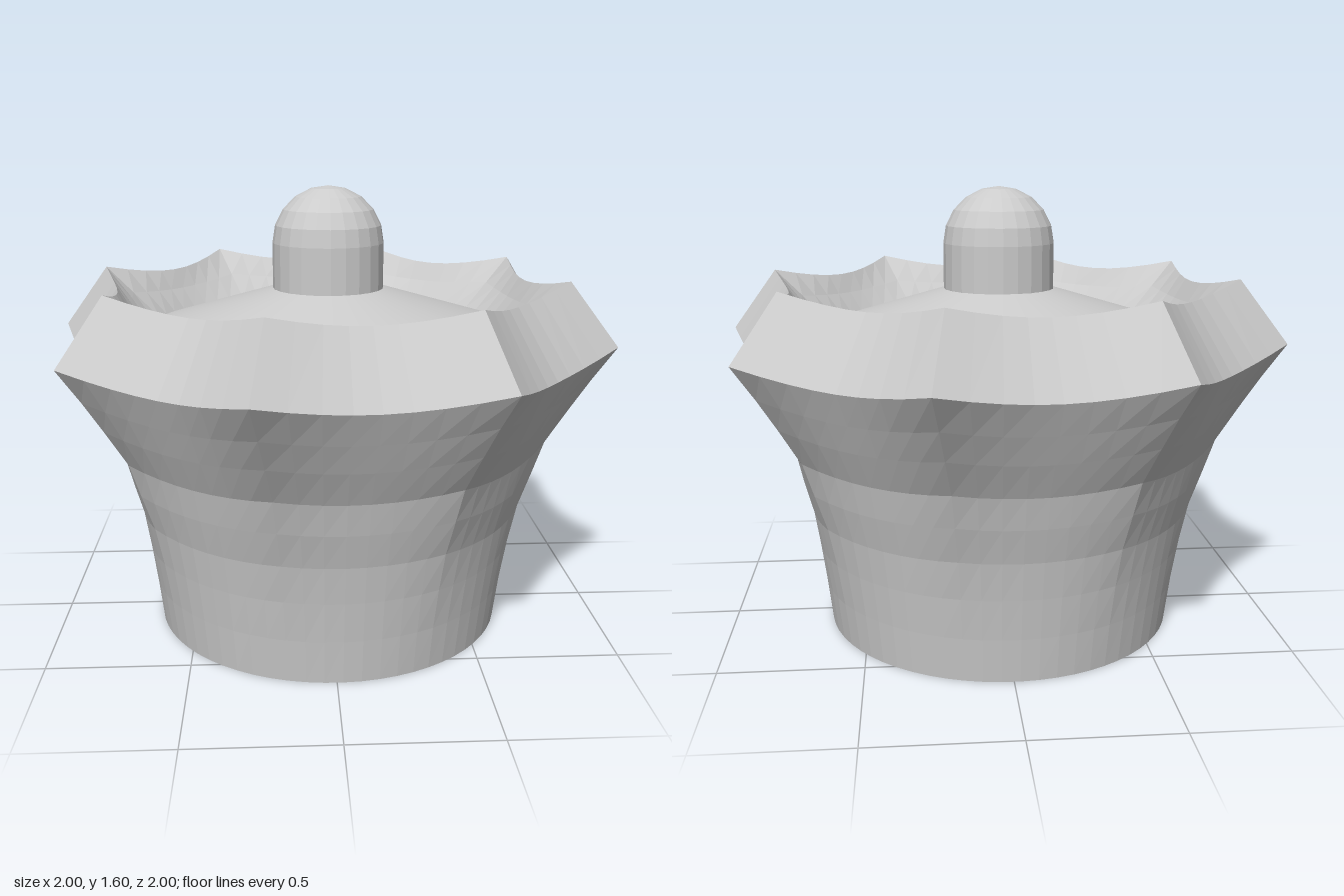
import * as THREE from 'three';

const POINTS = 8, STEPS = 8, SEG = POINTS * STEPS;
const START = Math.PI / 12; // direction of the first star point

// One cross-section: r and y at the points, dip pulls the middles inward, drop lowers them.
function ring(r, y, dip = 0, drop = 0) {
  return { r, y, dip, drop };
}

// Skin a stack of cross-sections; the outside faces away from the axis when going up.
function loft(rings) {
  const pos = [], index = [];
  for (const { r, y, dip, drop } of rings) {
    for (let j = 0; j < SEG; j++) {
      const a = START + (j / SEG) * Math.PI * 2;
      const u = ((j % STEPS) / STEPS) * 2 - 1;
      const bow = 1 - u * u;
      const rr = r * (1 - dip * bow);
      pos.push(rr * Math.cos(a), y - drop * bow, rr * Math.sin(a));
    }
  }
  for (let i = 0; i < rings.length - 1; i++) {
    for (let j = 0; j < SEG; j++) {
      const k = (j + 1) % SEG;
      const a = i * SEG + j, b = i * SEG + k, c = a + SEG, d = b + SEG;
      index.push(a, c, b, b, c, d);
    }
  }
  const g = new THREE.BufferGeometry();
  g.setAttribute('position', new THREE.Float32BufferAttribute(pos, 3));
  g.setIndex(index);
  g.computeVertexNormals();
  return g;
}

export function createModel() {
  const group = new THREE.Group();
  const flat = new THREE.MeshStandardMaterial({ color: 0xcccccc, flatShading: true });
  const smooth = new THREE.MeshStandardMaterial({ color: 0xcccccc });
  const add = (name, geometry, material = flat) => {
    const mesh = new THREE.Mesh(geometry, material);
    mesh.name = name;
    group.add(mesh);
    return mesh;
  };

  // Flared body: round at the foot, growing into an eight-pointed scalloped star
  const profile = [
    [0.64, 0], [0.66, 0.16], [0.685, 0.31], [0.715, 0.45], [0.76, 0.58],
    [0.8, 0.7], [0.88, 0.83], [0.95, 0.94], [1.033, 1.06],
  ];
  add('body', loft(profile.map(([r, y]) => {
    const s = (y / 1.06) ** 2;
    return ring(r, y, 0.126 * s, 0.05 * s);
  })));

  // Sloping outer rim
  const edge = ring(1.033, 1.06, 0.126, 0.05);
  const crest = ring(0.86, 1.285, 0.126, 0.045);
  add('rim', loft([edge, crest]));

  // Inner wall, running from the star crest down to the round lid
  add('innerWall', loft([crest, ring(0.755, 1.19, 0.06, 0.02), ring(0.655, 1.1)]));

  // Shallow conical lid
  add('lid', loft([ring(0.655, 1.1), ring(0.19, 1.24)]), smooth);

  // Domed knob
  const knob = [new THREE.Vector2(0.2, 1.22), new THREE.Vector2(0.2, 1.4)];
  for (let i = 1; i <= 5; i++) {
    const t = (i / 5) * Math.PI / 2;
    knob.push(new THREE.Vector2(i === 5 ? 0 : 0.2 * Math.cos(t), 1.4 + 0.2 * Math.sin(t)));
  }
  add('knob', new THREE.LatheGeometry(knob, 24));

  // Flat underside
  const base = add('base', new THREE.CircleGeometry(0.64, SEG));
  base.rotation.x = Math.PI / 2;
  base.rotation.z = START;

  return group;
}
